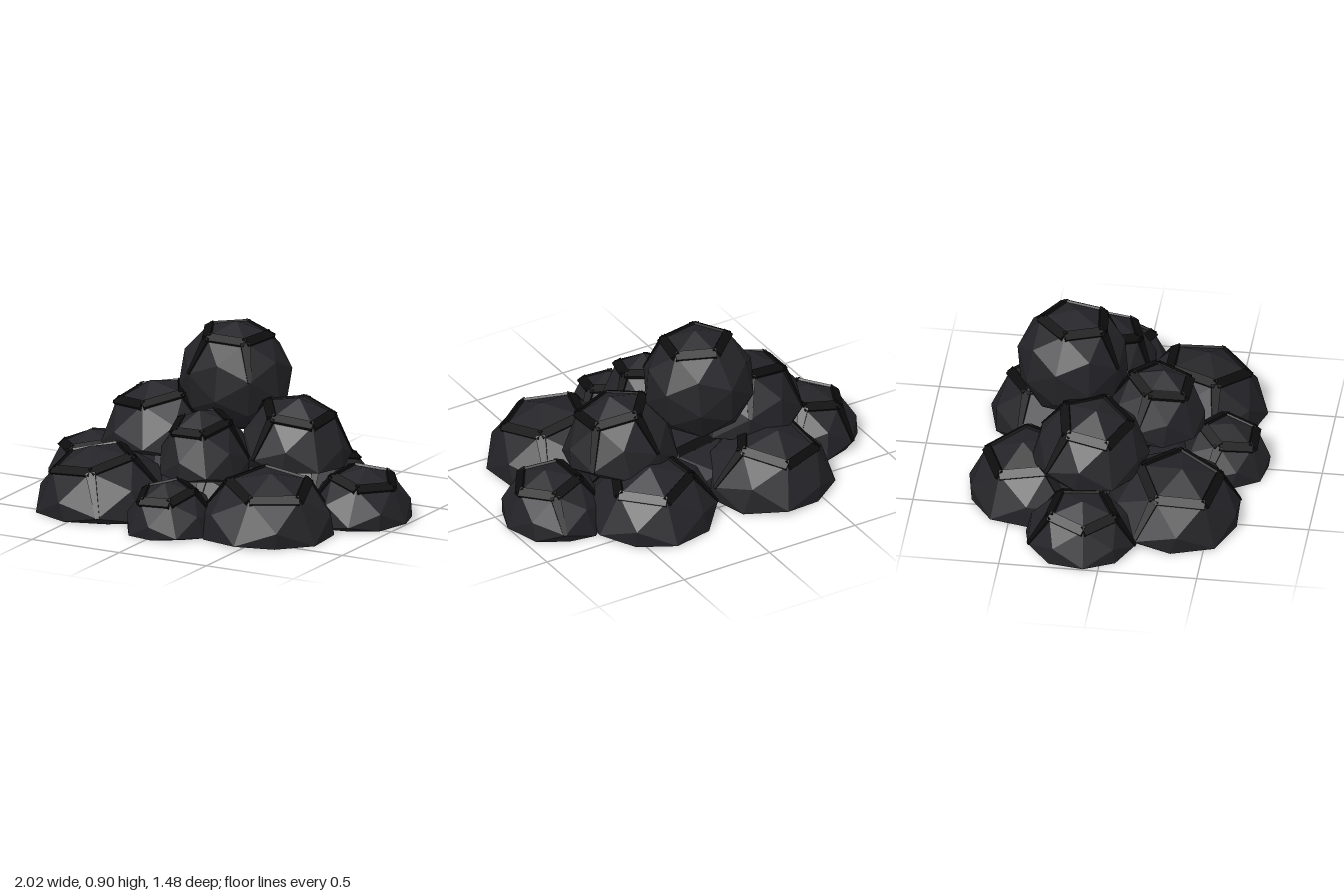
import * as THREE from 'three';
import { ConvexGeometry } from 'three/addons/geometries/ConvexGeometry.js';

const stone = new THREE.MeshStandardMaterial({ color: 0x242428, flatShading: true });
const seam = new THREE.MeshStandardMaterial({ color: 0x0d0d0d, flatShading: true });

// Unit dodecahedron (ring of five corners on top) plus the raised centre of each face
function ring(y, r, offset) {
  return Array.from({ length: 5 }, (_, i) => {
    const a = offset + i * Math.PI * 0.4;
    return new THREE.Vector3(r * Math.sin(a), y, r * Math.cos(a));
  });
}
const half = Math.PI / 5;
const corners = [...ring(0.795, 0.607, 0), ...ring(0.188, 0.982, 0), ...ring(-0.188, 0.982, half), ...ring(-0.795, 0.607, half)];
const faceTips = [new THREE.Vector3(0, 1, 0), ...ring(0.447, 0.894, half), ...ring(-0.447, 0.894, 0), new THREE.Vector3(0, -1, 0)];
const edges = [];
corners.forEach((a, i) => corners.forEach((b, j) => {
  if (j > i && a.distanceTo(b) < 0.75) edges.push([i, j]);
}));

// Dark raised strip along the edge a-b; a tapered one narrows and sinks towards b
function strip(a, b, width, tapered) {
  const along = b.clone().sub(a).normalize();
  const out = a.clone().add(b).normalize();
  out.addScaledVector(along, -out.dot(along)).normalize();
  const side = new THREE.Vector3().crossVectors(along, out).multiplyScalar(width / 2);
  const points = [];
  for (const [end, shrink] of [[a, 1], [b, tapered ? 0.4 : 1]]) {
    for (const s of [-shrink, shrink]) {
      points.push(end.clone().addScaledVector(side, s).addScaledVector(out, 0.008 * shrink));
      points.push(end.clone().addScaledVector(side, s).addScaledVector(out, -0.05 * shrink));
    }
  }
  const mesh = new THREE.Mesh(new ConvexGeometry(points), seam);
  mesh.name = 'seam';
  return mesh;
}

// One faceted lump; domes are flattened at their base
function lump({ name, at, size, yaw, tilt, whole = false }) {
  const group = new THREE.Group();
  group.name = name;
  group.position.set(...at);
  const turn = new THREE.Euler(tilt[0], yaw, tilt[1], 'XZY');
  const scale = new THREE.Vector3(...size);
  const place = (p) => p.clone().applyEuler(turn).multiply(scale);
  const verts = corners.map(place);
  const hull = [...verts, ...faceTips.map(place)];
  if (!whole) hull.forEach((p) => { p.y = Math.max(p.y, 0); });
  const body = new THREE.Mesh(new ConvexGeometry(hull), stone);
  body.name = 'body';
  group.add(body);
  for (const [i, j] of edges) {
    const a = verts[i], b = verts[j];
    const bare = whole && j >= 5 && b.z < 0;
    if (Math.min(a.y, b.y) > 0.1 * size[1] && !bare) group.add(strip(a, b, 0.05, j >= 5));
  }
  return group;
}

export function createModel() {
  const pile = new THREE.Group();
  pile.name = 'pile';
  const lumps = [
    // bottom layer, around a hidden core
    { name: 'coreLump', at: [0, 0, -0.02], size: [0.42, 0.27, 0.42], yaw: 0.2, tilt: [0, 0] },
    { name: 'backRightLump', at: [-0.34, 0, -0.41], size: [0.345, 0.32, 0.345], yaw: 2.9, tilt: [-0.15, 0.1] },
    { name: 'backLeftLump', at: [0.32, 0, -0.38], size: [0.345, 0.32, 0.345], yaw: 0.5, tilt: [-0.15, -0.1] },
    { name: 'rightLump', at: [-0.745, 0, -0.12], size: [0.265, 0.27, 0.29], yaw: 1.1, tilt: [0.05, 0.15] },
    { name: 'leftLump', at: [0.745, 0, -0.14], size: [0.265, 0.28, 0.29], yaw: 0.3, tilt: [0.05, -0.15] },
    { name: 'frontRightLump', at: [-0.47, 0, 0.31], size: [0.355, 0.335, 0.355], yaw: 0.45, tilt: [0.15, 0.15] },
    { name: 'frontLeftLump', at: [0.46, 0, 0.31], size: [0.355, 0.335, 0.355], yaw: 0, tilt: [0.15, -0.15] },
    { name: 'frontLump', at: [0.02, 0, 0.5], size: [0.235, 0.26, 0.245], yaw: 0.65, tilt: [0.2, 0.05] },
    // middle layer
    { name: 'middleRightLump', at: [-0.38, 0.25, -0.12], size: [0.31, 0.33, 0.3], yaw: 0.2, tilt: [0.12, 0.15] },
    { name: 'middleLeftLump', at: [0.36, 0.25, -0.15], size: [0.3, 0.34, 0.28], yaw: 0.9, tilt: [0.1, -0.15] },
    { name: 'middleFrontLump', at: [0.02, 0.22, 0.16], size: [0.235, 0.33, 0.26], yaw: 0.6, tilt: [0.15, 0.03] },
    // single round lump on top
    { name: 'topLump', at: [-0.035, 0.61, -0.255], size: [0.29, 0.29, 0.285], yaw: 0.75, tilt: [0.05, -0.05], whole: true },
  ];
  lumps.forEach((spec) => pile.add(lump(spec)));
  return pile;
}
